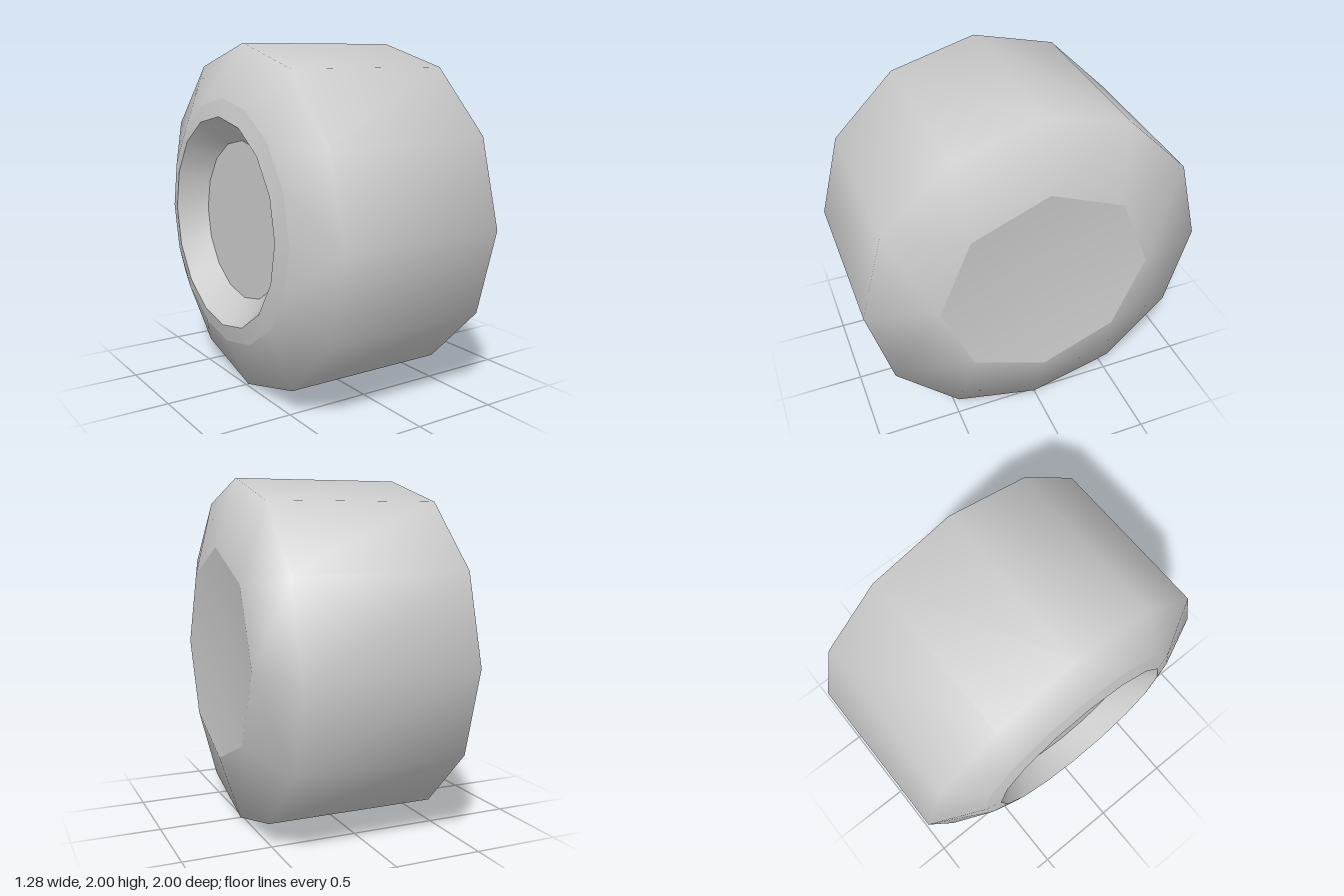
import * as THREE from 'three';

const material = new THREE.MeshStandardMaterial({ color: 0xcccccc, side: THREE.DoubleSide });

// Skin a series of regular polygon rings [x, radius, sides] around the x axis.
// Neighbouring rings may have different numbers of sides.
function skin(name, rings) {
  const positions = [], index = [], starts = [];
  for (const [x, r, n] of rings) {
    starts.push(positions.length / 3);
    for (let i = 0; i < n; i++) {
      const t = (i / n) * Math.PI * 2;
      positions.push(x, 1 + r * Math.cos(t), r * Math.sin(t));
    }
  }
  for (let k = 0; k + 1 < rings.length; k++) {
    const na = rings[k][2], nb = rings[k + 1][2];
    const a = (i) => starts[k] + (i % na);
    const b = (j) => starts[k + 1] + (j % nb);
    let i = 0, j = 0;
    while (i < na || j < nb) {
      // Step along whichever ring lags behind in angle
      if (j >= nb || (i < na && (i + 0.5) / na <= (j + 0.5) / nb)) {
        if (na > 1) index.push(a(i), a(i + 1), b(j));
        i++;
      } else {
        if (nb > 1) index.push(a(i), b(j + 1), b(j));
        j++;
      }
    }
  }
  const geometry = new THREE.BufferGeometry();
  geometry.setAttribute('position', new THREE.Float32BufferAttribute(positions, 3));
  geometry.setIndex(index);
  geometry.computeVertexNormals();
  const mesh = new THREE.Mesh(geometry, material);
  mesh.name = name;
  return mesh;
}

export function createModel() {
  const wheel = new THREE.Group();
  wheel.name = 'wheel';

  // Key rings, from the recessed side to the capped side
  const floorEdge = [-0.5, 0.46, 16];
  const rim = [-0.645, 0.6, 16];
  const shoulder = [-0.62, 0.7, 16];
  const capEdge = [0.64, 0.615, 8];

  wheel.add(
    // Recessed hub on the -x side
    skin('hubFloor', [[-0.5, 0, 1], floorEdge]),
    skin('hubWall', [floorEdge, rim]),
    skin('rimLip', [rim, shoulder]),
    // Tread with bevelled sidewalls
    skin('tyre', [shoulder, [-0.485, 1, 12], [0.515, 1, 12], capEdge]),
    // Shallow eight-sided dish on the +x side
    skin('hubCap', [capEdge, [0.58, 0, 1]])
  );
  return wheel;
}
